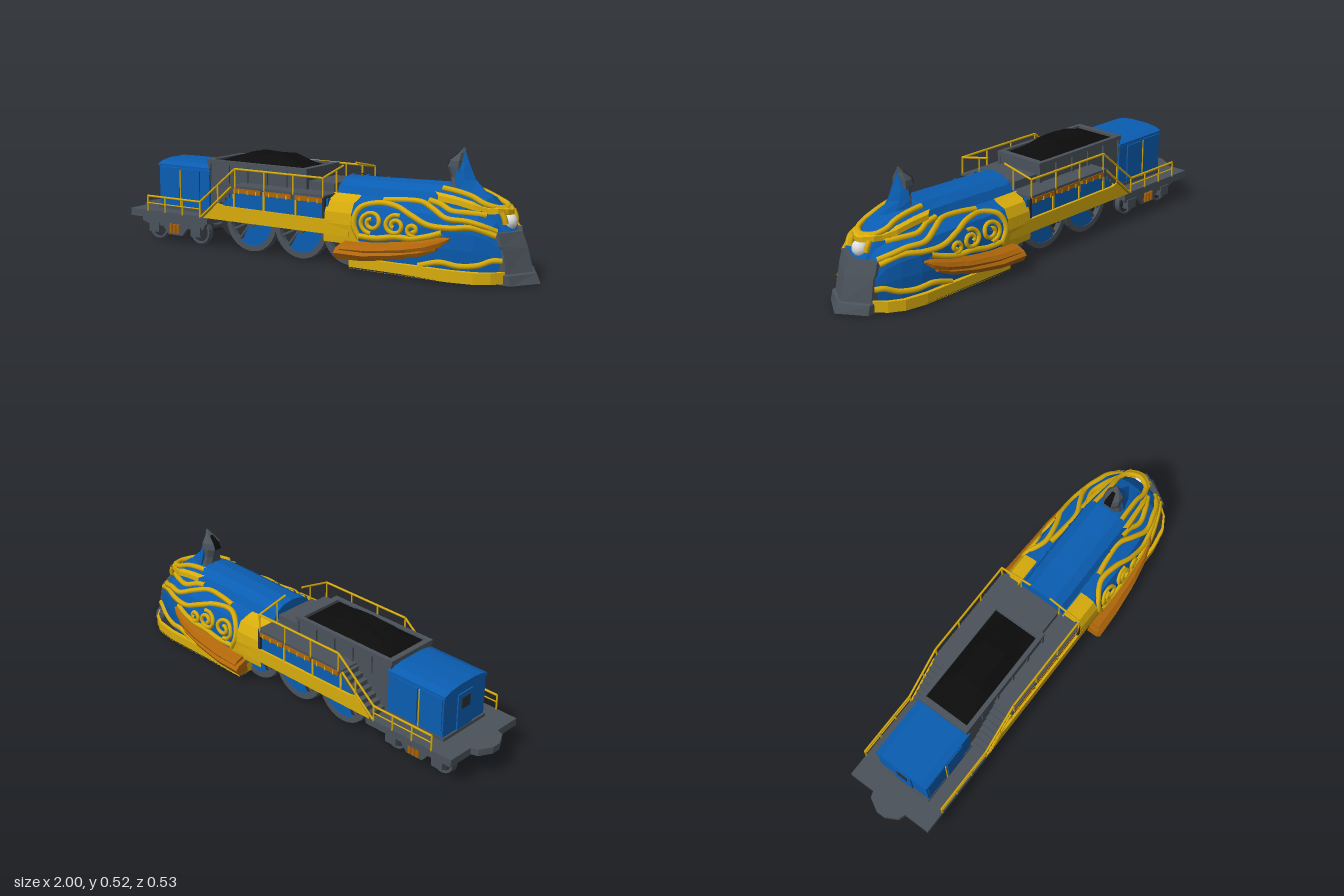
import * as THREE from 'three';

const mat = (name, color) => Object.assign(
  new THREE.MeshStandardMaterial({ color, side: THREE.DoubleSide }), { name });
const M = {
  blue: mat('blue paint', 0x0a5db2), gold: mat('gold trim', 0xd8ac0c),
  grey: mat('grey steel', 0x4a525a), dark: mat('dark underframe', 0x2b2f34),
  coal: mat('coal black', 0x0c0c0c), bronze: mat('bronze', 0xb0660a), lamp: mat('lamp white', 0xdedede),
};
const V = (p) => new THREE.Vector3(...p);
const lerp = THREE.MathUtils.lerp;

// Streamlined hull stations: x, bottom, half width, shoulder height, boiler half width, top
const STATIONS = [
  [0.12, 0.125, 0.2, 0.285, 0.11, 0.362], [0.26, 0.115, 0.203, 0.285, 0.11, 0.364],
  [0.32, 0.045, 0.203, 0.288, 0.11, 0.366], [0.46, 0.045, 0.203, 0.29, 0.11, 0.37],
  [0.6, 0.045, 0.195, 0.285, 0.11, 0.375], [0.7, 0.045, 0.178, 0.275, 0.1, 0.36],
  [0.78, 0.045, 0.152, 0.262, 0.09, 0.33], [0.835, 0.045, 0.128, 0.235, 0.06, 0.272],
  [0.89, 0.045, 0.099, 0.16, 0.05, 0.2],
];
function profile([, y0, w, hs, wt, ht]) {
  const h = hs - y0, b = ht - hs;
  return [[w * 0.96, y0], [w, y0 + 0.4 * h], [w * 0.98, y0 + 0.7 * h], [w * 0.88, y0 + 0.92 * h],
    [lerp(w, wt, 0.7), hs], [wt, hs + 0.15 * b], [wt * 0.85, hs + 0.6 * b], [wt * 0.5, hs + 0.9 * b], [0, ht]];
}
function hullZ(x, y) {
  let i = 0;
  while (i < STATIONS.length - 2 && STATIONS[i + 1][0] < x) i++;
  const a = STATIONS[i], b = STATIONS[i + 1];
  const t = THREE.MathUtils.clamp((x - a[0]) / (b[0] - a[0]), 0, 1);
  const p = profile(a.map((v, k) => lerp(v, b[k], t)));
  for (let k = 0; k < p.length - 1; k++)
    if (y <= p[k + 1][1]) return lerp(p[k][0], p[k + 1][0], Math.max(0, (y - p[k][1]) / (p[k + 1][1] - p[k][1])));
  return 0;
}

// Faceted surface through rows of points, optionally closed and capped
function loft(rows, closed = false, caps = false) {
  const pos = [], n = rows[0].length;
  const tri = (...p) => p.forEach((q) => pos.push(...q));
  for (let i = 0; i < rows.length - 1; i++)
    for (let j = 0; j < (closed ? n : n - 1); j++) {
      const k = (j + 1) % n, a = rows[i], b = rows[i + 1];
      tri(a[j], b[j], b[k]);
      tri(a[j], b[k], a[k]);
    }
  if (caps) for (const r of [rows[0], rows.at(-1)])
    for (let j = 1; j < n - 1; j++) tri(r[0], r[j], r[j + 1]);
  const g = new THREE.BufferGeometry();
  g.setAttribute('position', new THREE.Float32BufferAttribute(pos, 3));
  g.computeVertexNormals();
  return g;
}

export function createModel() {
  const root = new THREE.Group();
  root.name = 'streamlinedLocomotive';
  const add = (name, geo, m, x = 0, y = 0, z = 0) => {
    const o = new THREE.Mesh(geo, m);
    o.name = name;
    o.position.set(x, y, z);
    root.add(o);
    return o;
  };
  const box = (name, m, x0, x1, y0, y1, z0, z1) => add(name, new THREE.BoxGeometry(x1 - x0, y1 - y0, Math.abs(z1 - z0)),
    m, (x0 + x1) / 2, (y0 + y1) / 2, (z0 + z1) / 2);
  const bar = (name, m, a, b, r = 0.004) => {
    const d = V(b).sub(V(a)), o = add(name, new THREE.CylinderGeometry(r, r, d.length(), 6), m);
    o.position.copy(V(a).addScaledVector(d, 0.5));
    o.quaternion.setFromUnitVectors(new THREE.Vector3(0, 1, 0), d.normalize());
  };
  const tube = (name, m, pts, r, seg = 40) =>
    add(name, new THREE.TubeGeometry(new THREE.CatmullRomCurve3(pts.map(V)), seg, r, 6), m);
  const extrude = (pts, depth) => new THREE.ExtrudeGeometry(
    new THREE.Shape(pts.map((p) => new THREE.Vector2(...p))), { depth, bevelEnabled: false });
  const wheel = (x, y, z, r, s) => {
    const ring = new THREE.Shape().absarc(0, 0, r, 0, Math.PI * 2);
    ring.holes.push(new THREE.Path().absarc(0, 0, r * 0.82, 0, Math.PI * 2, true));
    add('wheelRim', new THREE.ExtrudeGeometry(ring, { depth: 0.026, bevelEnabled: false, curveSegments: 14 }), M.grey, x, y, z - 0.013);
    add('wheelFlange', new THREE.CylinderGeometry(r + 0.004, r + 0.004, 0.006, 28), M.dark, x, y, z - s * 0.014).rotation.x = Math.PI / 2;
    add('wheelHub', new THREE.CylinderGeometry(r * 0.2, r * 0.2, 0.036, 12), M.grey, x, y, z).rotation.x = Math.PI / 2;
  };
  // Symmetric arc from one side over the centre to the other
  const mirrored = (pts) => [...pts, ...pts.slice(0, -1).reverse().map(([x, y, z]) => [x, y, -z])];

  // Hull shell
  add('hull', loft(STATIONS.map((s) => mirrored(profile(s).map(([z, y]) => [s[0], y, z]))), true, true), M.blue);
  // Boiler bands
  for (const x of [0.13, 0.2, 0.3, 0.46]) {
    const arc = mirrored(profile(STATIONS[2]).slice(5).map(([z, y]) => [x, y + 0.004, z * 1.03]));
    add('boilerBand', loft([arc, arc.map(([a, y, z]) => [a + 0.012, y, z])]), M.blue);
  }

  // Skirt and underside in plan
  const half = [[0.24, 0.208], [0.7, 0.207], [0.8, 0.19], [0.86, 0.155], [0.9, 0.105]];
  const plan = [...half, ...half.map(([x, z]) => [x, -z]).reverse()];
  const skirtRow = (y0, k) => plan.map(([x, z]) => [x, y0, z * k]);
  add('skirt', loft([skirtRow(0.012, 1), skirtRow(0.058, 1), skirtRow(0.06, 0.93)], true), M.gold);
  add('noseUnderside', extrude(plan, 0.006).rotateX(Math.PI / 2), M.dark, 0, 0.018, 0);

  // Wedge nose
  const nose = (y, tip, side, back, w) => [[back, y, w], [side, y, w], [tip, y, 0], [side, y, -w], [back, y, -w]];
  add('noseWedge', loft([nose(0.04, 0.972, 0.905, 0.84, 0.108), nose(0.145, 0.942, 0.885, 0.82, 0.103),
    nose(0.155, 0.938, 0.88, 0.82, 0.107), nose(0.206, 0.918, 0.865, 0.82, 0.105)], true, true), M.grey);
  add('noseBlade', loft([nose(0.006, 1, 0.925, 0.87, 0.113), nose(0.045, 0.982, 0.915, 0.86, 0.113),
    nose(0.05, 0.975, 0.91, 0.86, 0.108)], true, true), M.grey);

  // Headlight under a gold brow
  add('headlight', new THREE.SphereGeometry(0.035, 12, 8), M.lamp, 0.858, 0.238, 0);
  const brow = [[0.6, 0.325], [0.68, 0.315], [0.75, 0.3], [0.805, 0.285]].map(([x, y]) => [x, y, hullZ(x, y) + 0.012]);
  const browArc = mirrored([...brow, [0.84, 0.288, 0.062], [0.868, 0.283, 0.026], [0.875, 0.278, 0]]);
  add('headlightBrow', loft([browArc.map(([x, y, z]) => [x - 0.022, y + 0.02, z * 0.85]), browArc.map(([x, y, z]) => [x, y + 0.008, z]),
    browArc.map(([x, y, z]) => [x, y - 0.013, z * 1.02]), browArc.map(([x, y, z]) => [x - 0.03, y - 0.016, z * 0.85])]), M.gold);
  const crown = [[0.6, 0.358], [0.67, 0.348], [0.73, 0.333], [0.78, 0.312]].map(([x, y]) => [x, y, hullZ(x, y) + 0.004]);
  tube('crownBand', M.gold, mirrored([...crown, [0.825, 0.298, 0.05], [0.85, 0.292, 0]]), 0.012);

  // Horn with a grey funnel behind it
  add('hornFront', loft([[0.345, 0.76, 0.65, 0.055], [0.39, 0.71, 0.64, 0.051], [0.43, 0.69, 0.64, 0.041],
    [0.47, 0.673, 0.645, 0.019], [0.506, 0.66, 0.655, 0.001]].map(([y, f, b, w]) =>
    [[b, y, w], [lerp(b, f, 0.55), y, w * 0.65], [f, y, 0], [lerp(b, f, 0.55), y, -w * 0.65], [b, y, -w]]), true, true), M.blue);
  const funnel = [[0.35, 0.61, 0.05], [0.4, 0.605, 0.036], [0.44, 0.59, 0.039], [0.465, 0.6, 0.037], [0.495, 0.635, 0.018], [0.517, 0.655, 0.001]];
  add('hornFunnel', loft(funnel.map(([y, b, w]) =>
    [[0.662, y, 0], [0.65, y, w], [lerp(b, 0.65, 0.4), y, w], [b, y, w * 0.5], [b, y, -w * 0.5], [lerp(b, 0.65, 0.4), y, -w], [0.65, y, -w]]), true, true), M.grey);
  add('funnelMouth', loft(funnel.slice(2, 5).map(([y, b, w]) => [[b - 0.003, y, w * 0.45], [b - 0.003, y, -w * 0.45]])), M.coal);

  // Scrollwork laid on the hull in side coordinates
  const spiral = (cx, cy, r, a0, turns) => Array.from({ length: 16 }, (_, i) => {
    const t = i / 15, a = a0 + turns * Math.PI * 2 * t, q = r * (1 - 0.75 * t);
    return [cx + q * Math.cos(a) * 1.2, cy + q * Math.sin(a)];
  });
  const scrolls = [
    [[0.29, 0.14], [0.262, 0.2], [0.28, 0.262], [0.35, 0.284], [0.44, 0.28], [0.52, 0.255], [0.6, 0.225], [0.69, 0.22], [0.77, 0.225], [0.855, 0.195]],
    [[0.36, 0.294], [0.44, 0.3], [0.53, 0.3], [0.6, 0.282], [0.67, 0.255], [0.75, 0.248], [0.8, 0.235], [0.85, 0.21]],
    [[0.56, 0.31], [0.61, 0.3], [0.67, 0.28], [0.74, 0.275], [0.8, 0.268]],
    [[0.56, 0.06], [0.65, 0.082], [0.73, 0.072], [0.8, 0.08], [0.85, 0.1], [0.885, 0.1]],
    [[0.28, 0.15], [0.37, 0.15], [0.46, 0.165], [0.53, 0.165], [0.6, 0.18], [0.66, 0.2]],
    spiral(0.345, 0.212, 0.047, -1.6, -1.5), spiral(0.455, 0.21, 0.042, 1.2, 1.5), spiral(0.535, 0.2, 0.025, -1.2, -1.2),
  ];

  for (const s of [1, -1]) {
    for (const c of scrolls)
      tube('scrollwork', M.gold, c.map(([x, y]) => [x, y, s * (hullZ(x, y) + 0.003)]), c.length === 16 ? 0.0095 : 0.0125, 48);
    tube('headlightSurround', M.gold, [[0.85, 0.28, s * 0.05], [0.862, 0.255, s * 0.048], [0.866, 0.235, s * 0.046]], 0.012, 8);

    // Gold collar over the shoulder
    const collar = [[0.11, 0.305], [0.14, 0.28], [0.19, 0.255], [0.237, 0.25], [0.272, 0.25], [0.285, 0.25], [0.2965, 0.245]];
    add('collar', loft(collar.map(([y, x1]) => [0.112, 0.15, 0.2, x1].map((x) =>
      [x, y + (y > 0.25 ? 0.006 : 0), s * (hullZ(Math.max(x, 0.12), y) + 0.007)]))), M.gold);

    // Flared side fin in two overlapping blades
    const blade = (list) => loft(list.map(([x, y, h, z, o]) => [[x, y + h, s * (z - 0.005)], [x, y + h * 0.5, s * (z + o * 0.7)],
      [x, y - h * 0.1, s * (z + o)], [x, y - h, s * (z + o * 0.7)], [x, y - h, s * (z - 0.012)]]), true, true);
    add('finUpper', blade([[0.22, 0.1, 0.025, 0.205, 0.048], [0.35, 0.105, 0.026, 0.205, 0.045], [0.5, 0.125, 0.026, 0.205, 0.036],
      [0.6, 0.145, 0.027, 0.198, 0.026], [0.66, 0.165, 0.018, 0.188, 0.016], [0.69, 0.178, 0.005, 0.178, 0.008]]), M.bronze);
    add('finLower', blade([[0.2, 0.084, 0.03, 0.208, 0.055], [0.33, 0.083, 0.025, 0.208, 0.05], [0.47, 0.1, 0.022, 0.206, 0.04],
      [0.58, 0.12, 0.018, 0.2, 0.028], [0.64, 0.135, 0.008, 0.192, 0.012]]), M.bronze);

    // Running board and side wall
    const sz = (d, z) => (s > 0 ? z : -z - d);
    add('runningBoard', extrude([[-0.52, 0.142], [0.24, 0.142], [0.24, 0.2], [-0.41, 0.205], [-0.44, 0.215]], 0.025), M.gold, 0, 0, sz(0.025, 0.182));
    add('sideWall', extrude([[-0.43, 0.2], [0.13, 0.2], [0.13, 0.287], [-0.35, 0.287]], 0.02), M.blue, 0, 0, sz(0.02, 0.175));
    for (const x of [-0.36, -0.2, -0.035, 0.11]) box('wallRib', M.gold, x, x + 0.009, 0.2, 0.287, s * 0.19, s * 0.2);
    for (let i = 0; i < 3; i++) {
      const x = -0.345 + i * 0.158;
      box('sidePipe', M.bronze, x, x + 0.138, 0.269, 0.289, s * 0.19, s * 0.208);
      for (let k = 0; k < 3; k++) box('pipeClamp', M.gold, x + 0.022 + k * 0.045, x + 0.028 + k * 0.045, 0.266, 0.283, s * 0.2, s * 0.21);
    }

    // Stairs
    for (let i = 0; i < 7; i++) {
      const x = -0.525 + i * 0.024, y = 0.145 + (i + 1) * 0.021;
      box('stairStep', M.grey, x, x + 0.026, y - 0.03, y, s * 0.12, s * 0.2);
    }
    bar('stairStringer', M.gold, [-0.535, 0.145, s * 0.202], [-0.365, 0.293, s * 0.202], 0.005);

    // Hand rails
    const z = s * 0.203;
    const path = [[-0.84, 0.21, z], [-0.54, 0.21, z], [-0.345, 0.372, z], [0.11, 0.372, z], [0.11, 0.405, s * 0.05]];
    for (let i = 0; i < path.length - 1; i++) bar('handRail', M.gold, path[i], path[i + 1], 0.005);
    for (const x of [-0.84, -0.74, -0.64, -0.54]) bar('railPost', M.gold, [x, 0.14, z], [x, 0.21, z]);
    bar('railPost', M.gold, [-0.44, 0.22, z], [-0.44, 0.295, z]);
    for (const x of [-0.345, -0.19, -0.04, 0.11]) bar('railPost', M.gold, [x, 0.29, z], [x, 0.372, z]);
    bar('railPost', M.gold, [0.11, 0.3, s * 0.1], [0.11, 0.395, s * 0.1]);
    bar('lowerRail', M.gold, [-0.84, 0.178, z], [-0.54, 0.178, z], 0.003);

    // Driving wheels with blue counterweights
    for (const x of [-0.31, -0.05, 0.2]) {
      wheel(x, 0.139, s * 0.123, 0.134, s);
      for (let k = 0; k < 14; k++) {
        const a = k * Math.PI / 7;
        bar('wheelSpoke', M.grey, [x, 0.139, s * 0.123], [x + 0.115 * Math.cos(a), 0.139 + 0.115 * Math.sin(a), s * 0.123], 0.007);
      }
      add('counterweight', new THREE.CircleGeometry(0.112, 16, -2.1, 2), M.blue, x, 0.139, s * 0.133);
    }

    // Rear truck
    for (const x of [-0.84, -0.6]) {
      wheel(x, 0.059, s * 0.12, 0.054, s);
      add('wheelDisc', new THREE.CylinderGeometry(0.046, 0.046, 0.012, 16), M.dark, x, 0.059, s * 0.12).rotation.x = Math.PI / 2;
      box('axleBox', M.grey, x - 0.028, x + 0.028, 0.04, 0.085, s * 0.135, s * 0.165);
    }
    add('truckFrame', extrude([[-0.91, 0.085], [-0.88, 0.075], [-0.79, 0.07], [-0.76, 0.035], [-0.68, 0.035], [-0.65, 0.07], [-0.56, 0.075],
      [-0.54, 0.115], [-0.91, 0.115]], 0.02), M.grey, 0, 0, sz(0.02, 0.14));
    for (const x of [-0.74, -0.72, -0.7]) bar('truckSpring', M.bronze, [x, 0.045, s * 0.163], [x, 0.085, s * 0.163], 0.009);

    // Cab side panels
    box('cabDoor', M.blue, -0.7, -0.6, 0.17, 0.33, s * 0.125, s * 0.133);
    box('cabPanel', M.blue, -0.825, -0.715, 0.19, 0.335, s * 0.125, s * 0.131);
    bar('cabTrim', M.gold, [-0.71, 0.16, s * 0.131], [-0.71, 0.33, s * 0.131], 0.003);

    // Tender lip and ribs
    box('tenderLip', M.grey, -0.56, -0.025, 0.37, 0.388, s * 0.105, s * 0.124);
    for (let i = 0; i < 6; i++) box('tenderRib', M.grey, -0.555 + i * 0.103, -0.543 + i * 0.103, 0.29, 0.372, s * 0.112, s * 0.123);
  }

  // Rear deck and coupler
  box('rearDeck', M.grey, -0.94, -0.5, 0.112, 0.145, -0.205, 0.205);
  add('coupler', extrude([[-0.94, -0.085], [-0.94, 0.085], [-0.97, 0.075], [-1, 0.02], [-1, -0.02], [-0.97, -0.075]], 0.03)
    .rotateX(Math.PI / 2), M.grey, 0, 0.145, 0);
  box('truckBolster', M.dark, -0.77, -0.67, 0.06, 0.115, -0.14, 0.14);
  for (const x of [-0.84, -0.6]) bar('axle', M.dark, [x, 0.059, -0.13], [x, 0.059, 0.13], 0.014);

  // Underframe
  box('underframe', M.dark, -0.5, 0.3, 0.08, 0.2, -0.1, 0.1);
  box('underfloor', M.dark, -0.5, 0.3, 0.142, 0.155, -0.185, 0.185);
  for (const x of [-0.31, -0.05, 0.2]) bar('axle', M.dark, [x, 0.139, -0.14], [x, 0.139, 0.14], 0.02);

  // Cab with arched roof
  const arch = (w, y0, y1, top) => [[-w, y0], [w, y0], [w, y1], [w * 0.75, lerp(y1, top, 0.65)], [w * 0.35, top],
    [-w * 0.35, top], [-w * 0.75, lerp(y1, top, 0.65)], [-w, y1]];
  add('cabBody', extrude(arch(0.127, 0.145, 0.335, 0.36), 0.285).rotateY(Math.PI / 2), M.blue, -0.832, 0, 0);
  add('cabRoof', extrude(arch(0.13, 0.338, 0.348, 0.367), 0.295).rotateY(Math.PI / 2), M.blue, -0.838, 0, 0);
  box('cabBase', M.grey, -0.84, -0.54, 0.145, 0.16, -0.13, 0.13);
  box('rearDoor', M.blue, -0.838, -0.832, 0.16, 0.32, -0.045, 0.045);
  box('rearDoorWindow', M.dark, -0.841, -0.837, 0.25, 0.3, -0.025, 0.025);

  // Tender, coal load and walkway
  box('tenderBody', M.grey, -0.555, -0.03, 0.145, 0.375, -0.116, 0.116);
  box('tenderEndLip', M.grey, -0.56, -0.535, 0.37, 0.388, -0.122, 0.122);
  box('tenderEndLip', M.grey, -0.055, -0.025, 0.37, 0.388, -0.122, 0.122);
  const heap = Array.from({ length: 17 }, (_, i) => Array.from({ length: 9 }, (_, j) => {
    const u = i / 16, v = j / 8;
    const rise = Math.min(1, Math.min(u, 1 - u) * 3.2) * Math.min(1, Math.min(v, 1 - v) * 4);
    return [lerp(-0.53, -0.06, u), 0.379 + 0.045 * rise + 0.002 * Math.sin(i * 7.3 + j * 4.1) * rise, lerp(-0.105, 0.105, v)];
  }));
  add('coalHeap', loft(heap), M.coal);
  box('walkway', M.grey, -0.365, 0.12, 0.286, 0.3, -0.205, 0.205);
  box('walkwayFront', M.dark, 0.108, 0.12, 0.205, 0.292, -0.206, 0.206);
  box('frontLocker', M.grey, -0.03, 0.1, 0.3, 0.335, -0.1, 0.1);
  return root;
}
